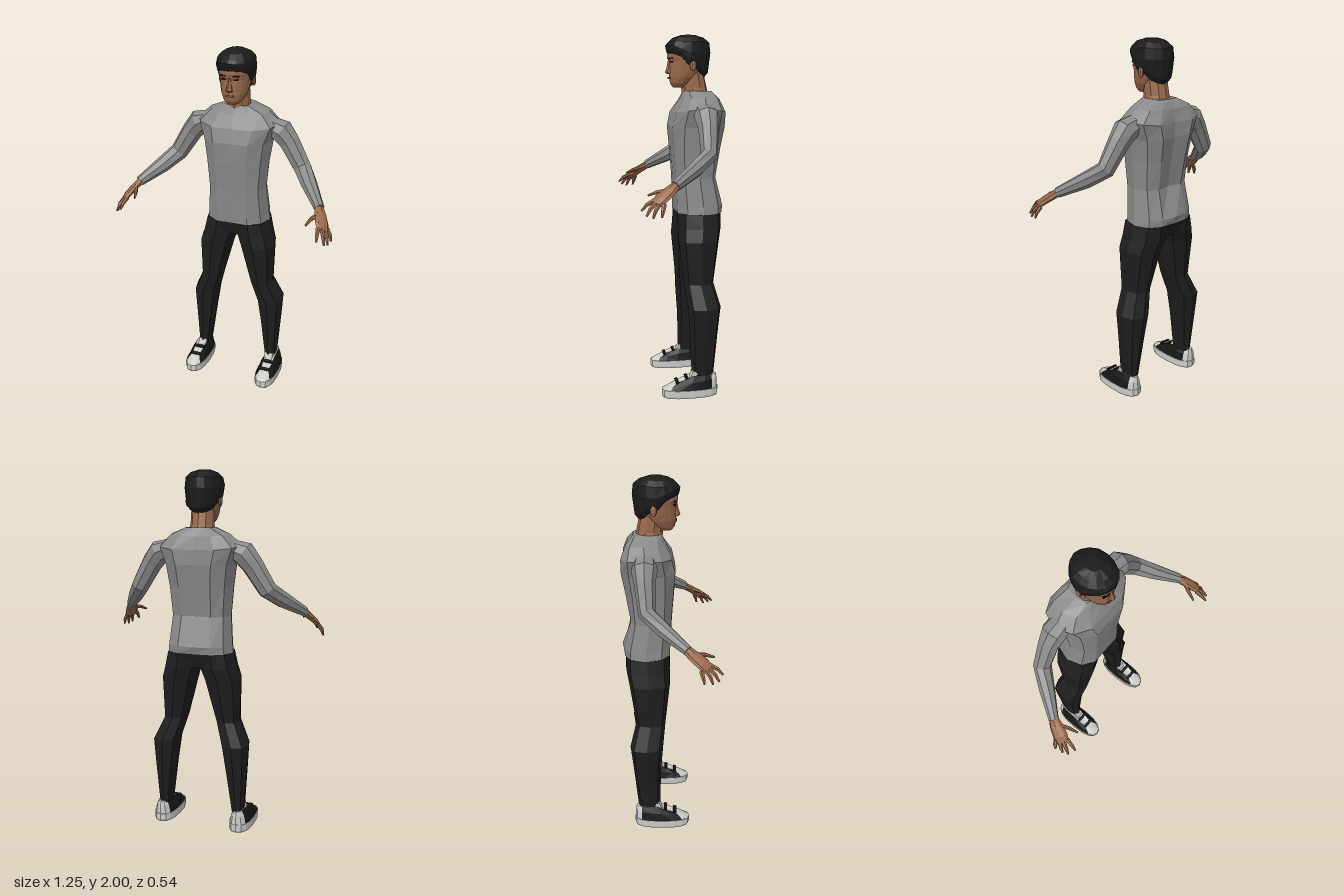
import * as THREE from 'three';

const mat = (name, color, side = THREE.FrontSide) => {
  const m = new THREE.MeshStandardMaterial({ color, flatShading: true, side });
  m.name = name;
  return m;
};

// Joins rings of [x, y, z] points, closes both ends and turns every face outward.
// pick(ring, segment) chooses a material index for a face.
function loft(rings, pick = () => 0) {
  const n = rings[0].length, faces = [];
  const centre = r => [0, 1, 2].map(k => r.reduce((s, p) => s + p[k], 0) / n);
  const last = rings.length - 1, c0 = centre(rings[0]), c1 = centre(rings[last]);
  for (let i = 0; i < n; i++) {
    const j = (i + 1) % n;
    faces.push([[c0, rings[0][j], rings[0][i]], pick(-1, i)]);
    faces.push([[c1, rings[last][i], rings[last][j]], pick(last, i)]);
    for (let r = 0; r < last; r++) {
      const [a, b, c, d] = [rings[r][i], rings[r][j], rings[r + 1][j], rings[r + 1][i]];
      faces.push([[a, b, c], pick(r, i)], [[a, c, d], pick(r, i)]);
    }
  }
  const V = p => new THREE.Vector3(...p).sub(new THREE.Vector3(...c0));
  const volume = faces.reduce((s, [[a, b, c]]) => s + V(a).dot(V(b).cross(V(c))), 0);
  const geo = new THREE.BufferGeometry();
  const pos = faces.flatMap(([f]) => (volume < 0 ? [f[0], f[2], f[1]] : f).flat());
  geo.setAttribute('position', new THREE.Float32BufferAttribute(pos, 3));
  faces.forEach(([, m], i) => geo.addGroup(i * 3, 3, m));
  geo.computeVertexNormals();
  return geo;
}

// Horizontal rounded ring, angle 0 at the front
function ring(n, x0, x1, zf, zb, y, power = 1, phase = 0) {
  const soft = v => Math.sign(v) * Math.abs(v) ** power;
  return Array.from({ length: n }, (_, i) => {
    const a = ((i + phase) / n) * Math.PI * 2;
    return [(x0 + x1) / 2 + (x1 - x0) / 2 * soft(Math.sin(a)),
      typeof y === 'function' ? y(i) : y,
      (zf + zb) / 2 + (zf - zb) / 2 * soft(Math.cos(a))];
  });
}

// Rings across a path of [x, y, z, radius along ref, other radius]
function limb(path, ref, n) {
  const P = path.map(p => new THREE.Vector3(...p.slice(0, 3)));
  return path.map((p, k) => {
    const t = P[Math.min(k + 1, P.length - 1)].clone().sub(P[Math.max(k - 1, 0)]).normalize();
    const u = new THREE.Vector3(...ref);
    u.addScaledVector(t, -u.dot(t)).normalize();
    const v = t.clone().cross(u);
    return Array.from({ length: n }, (_, i) => {
      const a = (i / n) * Math.PI * 2;
      return P[k].clone().addScaledVector(u, p[3] * Math.cos(a)).addScaledVector(v, p[4] * Math.sin(a)).toArray();
    });
  });
}

const mirrorRings = (rings, s) => rings.map(r => r.map(([x, y, z]) => [x * s, y, z]));

export function createModel() {
  const model = new THREE.Group();
  const skin = mat('skin', 0x9a6a4c), lip = mat('lips', 0x80503f), hair = mat('hair', 0x1b1b1c);
  const shirt = mat('shirt', 0x8a8a8a), trousers = mat('trousers', 0x1e1e1f);
  const light = mat('shoe light', 0xcbcbc8), dark = mat('shoe dark', 0x151515);

  const add = (name, geo, material, parent = model) => {
    const m = new THREE.Mesh(geo, material);
    m.name = name;
    parent.add(m);
    return m;
  };
  const box = (name, w, h, d, x, y, z, material, parent) => {
    const m = add(name, new THREE.BoxGeometry(w, h, d), material, parent);
    m.position.set(x, y, z);
    return m;
  };

  // Torso: [y, half width, front z, chest z, side z, blade z, spine z, side y]
  const body = ([y, w, f, c, s, b, sp, sy = y]) => {
    const half = [[0, y, f], [w * 0.5, y, c], [w * 0.86, (y + sy) / 2, (c + s) / 2 + 0.02], [w, sy, s],
      [w * 0.86, (y + sy) / 2, (b + s) / 2 - 0.025], [w * 0.5, y, b], [0, y, sp]];
    return [...half, ...half.slice(1, 6).reverse().map(([x, yy, z]) => [-x, yy, z])];
  };
  const hem = [1.02, 0.187, 0.0, 0.0, -0.13, -0.25, -0.255];
  add('shirtBody', loft([
    hem,
    [1.06, 0.182, 0.003, 0.002, -0.13, -0.255, -0.268],
    [1.22, 0.168, 0.012, 0.008, -0.11, -0.215, -0.2],
    [1.38, 0.182, 0.025, 0.02, -0.11, -0.24, -0.225],
    [1.5, 0.2, 0.03, 0.03, -0.12, -0.262, -0.245],
    [1.58, 0.238, 0.01, 0.01, -0.13, -0.262, -0.245, 1.6],
    [1.65, 0.17, -0.025, -0.035, -0.135, -0.235, -0.23, 1.66],
    [1.695, 0.078, -0.045, -0.05, -0.125, -0.198, -0.2]].map(body)), shirt);
  add('trouserSeat', loft([[1.022, 0.185, -0.002, -0.002, -0.13, -0.248, -0.252],
    [0.94, 0.14, -0.02, -0.02, -0.12, -0.23, -0.22]].map(body)), trousers);

  // Neck, head and face
  add('neck', loft([[1.67, 0.072, -0.04, -0.19], [1.71, 0.064, -0.035, -0.18], [1.8, 0.064, -0.03, -0.16]]
    .map(([y, w, f, b]) => ring(10, -w, w, f, b, y))), skin);
  add('head', loft([[1.715, 0.03, 0.012, -0.05], [1.735, 0.053, 0.027, -0.09], [1.768, 0.07, 0.034, -0.13],
    [1.8, 0.079, 0.033, -0.15], [1.85, 0.088, 0.033, -0.17], [1.88, 0.091, 0.044, -0.178],
    [1.93, 0.09, 0.04, -0.175], [1.96, 0.06, 0.01, -0.14]]
    .map(([y, w, f, b]) => ring(16, -w, w, f, b, y))), skin);
  add('nose', loft([[1.787, 0.018, 0.045, 0.01], [1.797, 0.019, 0.056, 0.01], [1.83, 0.011, 0.045, 0.01],
    [1.865, 0.008, 0.039, 0.01]].map(([y, w, f, b]) => ring(6, -w, w, f, b, y))), skin);
  box('mouth', 0.042, 0.01, 0.009, 0, 1.766, 0.033, lip);

  // Hair with a fringe, sideburns and a low nape
  const edges = [1.9, 1.9, 1.895, 1.88, 1.835, 1.825, 1.79, 1.775, 1.77];
  const edge = i => edges[Math.min(i, 16 - i)];
  const lump = i => 0.003 * Math.sin(i * 4.1);
  add('hair', loft([
    ring(16, -0.092, 0.092, 0.046, -0.165, edge),
    ring(16, -0.103, 0.103, 0.053, -0.186, i => edge(i) + 0.025),
    ring(16, -0.106, 0.106, 0.055, -0.2, i => Math.max(edge(i) + 0.04, 1.9) + lump(i)),
    ring(16, -0.099, 0.099, 0.043, -0.193, i => 1.956 + lump(i)),
    ring(16, -0.074, 0.074, 0.015, -0.16, i => 1.982 + lump(i)),
    ring(16, -0.035, 0.035, -0.035, -0.115, 1.998)]), hair);

  for (const s of [1, -1]) {
    const side = new THREE.Group();
    side.name = s > 0 ? 'leftSide' : 'rightSide';
    model.add(side);
    const part = (name, rings, material, pick) => add(name, loft(mirrorRings(rings, s), pick), material, side);

    // Eye, brow and ear
    box('eye', 0.026, 0.008, 0.008, s * 0.036, 1.853, 0.027, hair, side).rotation.y = s * 0.35;
    box('eyebrow', 0.036, 0.006, 0.008, s * 0.037, 1.872, 0.031, hair, side).rotation.y = s * 0.35;
    const ear = add('ear', new THREE.SphereGeometry(1, 7, 5), skin, side);
    ear.scale.set(0.011, 0.03, 0.019);
    ear.position.set(s * 0.094, 1.832, -0.085);

    // Sleeve
    part('sleeve', limb([[0.17, 1.585, -0.13, 0.06, 0.05], [0.245, 1.557, -0.13, 0.068, 0.068],
      [0.29, 1.5, -0.128, 0.055, 0.06], [0.372, 1.368, -0.115, 0.046, 0.052],
      [0.44, 1.305, -0.03, 0.041, 0.045], [0.53, 1.232, 0.09, 0.027, 0.028]], [0, 0, 1], 8), shirt);

    // Hand with four fingers and a thumb
    const across = [0.04, -0.01, -0.05];
    part('palm', limb([[0.522, 1.238, 0.08, 0.024, 0.022], [0.545, 1.21, 0.12, 0.036, 0.019],
      [0.567, 1.178, 0.165, 0.04, 0.017], [0.58, 1.153, 0.192, 0.034, 0.012]], across, 8), skin);
    const digits = {
      indexFinger: [[0.556, 1.168, 0.2], [0.562, 1.148, 0.238], [0.567, 1.12, 0.265]],
      middleFinger: [[0.574, 1.162, 0.19], [0.592, 1.132, 0.224], [0.603, 1.098, 0.245]],
      ringFinger: [[0.586, 1.156, 0.175], [0.606, 1.125, 0.2], [0.614, 1.088, 0.214]],
      littleFinger: [[0.594, 1.152, 0.156], [0.614, 1.122, 0.165], [0.622, 1.092, 0.172]],
      thumb: [[0.536, 1.212, 0.125], [0.51, 1.203, 0.178], [0.495, 1.184, 0.224]],
    };
    for (const [name, pts] of Object.entries(digits)) {
      part(name, limb(pts.map((p, k) => [...p, [0.013, 0.011, 0.006][k], [0.012, 0.01, 0.005][k]]), across, 6), skin);
    }

    // Trouser leg: [y, inner x, outer x, front z, back z]
    part('trouserLeg', [[1.02, 0.0, 0.186, -0.003, -0.247], [0.94, 0.0, 0.206, 0.0, -0.245],
      [0.87, 0.024, 0.228, 0.002, -0.23], [0.63, 0.09, 0.222, -0.025, -0.192],
      [0.5, 0.128, 0.282, -0.038, -0.225], [0.35, 0.152, 0.272, -0.05, -0.207],
      [0.11, 0.188, 0.252, -0.057, -0.182]]
      .map(([y, a, b, f, k]) => ring(8, a, b, f, k, y, 0.8)), trousers);

    // Shoe: pale sole, pale upper with dark side panels
    const sole = (k, y) => ring(16, 0.23 - 0.065 * k, 0.23 + 0.065 * k, -0.045 + 0.16 * k, -0.045 - 0.16 * k, y, 0.8);
    part('sole', [sole(0.97, 0), sole(1, 0.012), sole(1, 0.045)], light);
    const slope = z => z > -0.06 ? 0.115 - (z + 0.06) * 0.36 : 0.12;
    const upper = [[1, 0], [0.8, 0.62], [0.5, 1]].map(([k, h], r) =>
      ring(16, 0.23 - 0.062 * k, 0.23 + 0.062 * k, [0.11, 0.096, 0.06][r], [-0.202, -0.2, -0.195][r], 0.044, 0.8)
        .map(([x, y, z]) => [x, y + h * (slope(z) - y), z]));
    const panel = i => [2, 3, 4, 5, 10, 11, 12, 13].includes(i);
    part('shoeUpper', upper, [light, dark], (r, i) => (r >= 0 && r < 2 && panel(i) ? 1 : 0));
    const tongue = box('shoeTongue', 0.05, 0.05, 0.03, s * 0.222, 0.112, -0.066, light, side);
    tongue.rotation.x = -0.4;
    for (const z of [-0.025, 0.03]) {
      box('lace', 0.066, 0.009, 0.018, s * 0.226, slope(z) + 0.002, z, dark, side).rotation.x = 0.34;
    }
  }
  return model;
}
